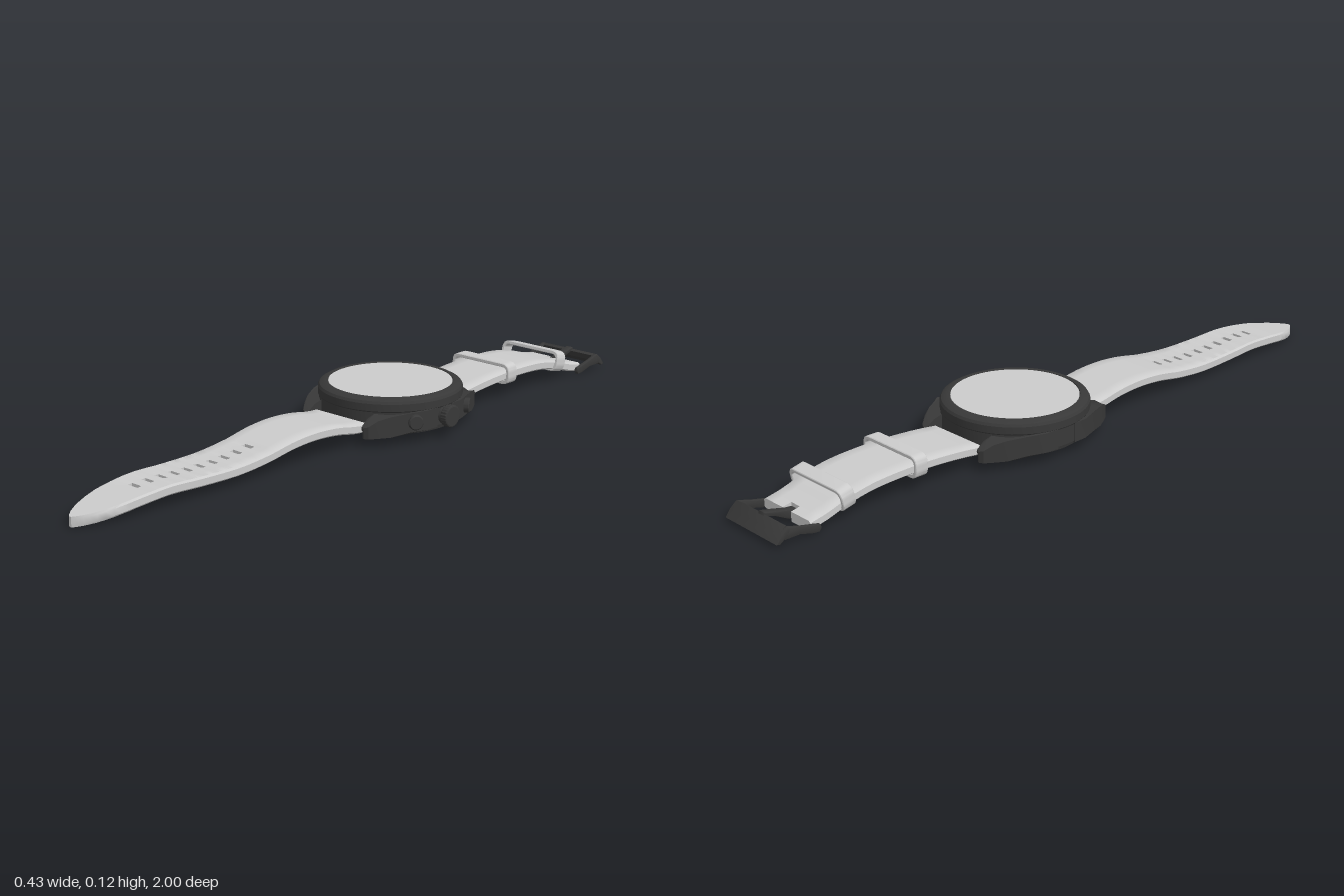
import * as THREE from 'three';
import { toCreasedNormals } from 'three/addons/utils/BufferGeometryUtils.js';

const CX = -0.015, CZ = -0.137; // watch axis
const grey = new THREE.MeshStandardMaterial({ color: 0xcccccc });
const dark = new THREE.MeshStandardMaterial({ color: 0x383838 });

function part(parent, name, geo, mat, crease = 0.5) {
  const mesh = new THREE.Mesh(toCreasedNormals(geo, crease), mat);
  mesh.name = name;
  parent.add(mesh);
  return mesh;
}

const shapeOf = (pts) => new THREE.Shape(pts.map(([a, b]) => new THREE.Vector2(a, b)));

// piecewise-linear lookup in [[key, value], ...] with ascending keys
function lookup(table, k) {
  for (let i = 1; i < table.length; i++) {
    const [k0, v0] = table[i - 1], [k1, v1] = table[i];
    if (k <= k1) return v0 + (v1 - v0) * Math.max(0, (k - k0) / (k1 - k0));
  }
  return table[table.length - 1][1];
}

// (z, y) outline extruded along x, centred on x
function sideProfile(pts, x, width, bevel = 0.002) {
  const g = new THREE.ExtrudeGeometry(shapeOf(pts), {
    depth: width - 2 * bevel, bevelSize: bevel, bevelThickness: bevel, bevelOffset: -bevel, bevelSegments: 2,
  });
  return g.rotateY(-Math.PI / 2).translate(x + width / 2 - bevel, 0, 0);
}

function roundedRect(target, w, h, r) {
  target.moveTo(-w + r, -h);
  target.lineTo(w - r, -h).quadraticCurveTo(w, -h, w, -h + r);
  target.lineTo(w, h - r).quadraticCurveTo(w, h, w - r, h);
  target.lineTo(-w + r, h).quadraticCurveTo(-w, h, -w, h - r);
  target.lineTo(-w, -h + r).quadraticCurveTo(-w, -h, -w + r, -h);
  return target;
}

// Strap slab over a grid of rows (z) and columns; hole cells are left out and walled
const COLS = [-1, -0.93, -0.6, -0.35, 'a', 'b', 0.35, 0.6, 0.93, 1];
function strapGeometry(rows, halfWidth, height, isHole, ripple) {
  const pos = [], idx = [], nc = COLS.length, thick = 0.027;
  for (const z of rows) {
    const w = halfWidth(z), y = height(z);
    for (const c of COLS) {
      const slot = Math.min(0.017, w * 0.25);
      const x = c === 'a' ? -slot : c === 'b' ? slot : c * w;
      const edge = Math.abs(c) === 1 ? 0.65 : 1;
      const dip = ripple(z) * (1 - Math.min(1, Math.abs(x) / w));
      pos.push(CX + x, y + thick / 2 * edge - dip, z, CX + x, y - thick / 2 * edge + dip, z);
    }
  }
  const id = (i, j, low) => 2 * (i * nc + j) + low;
  const solid = (i, j) => i >= 0 && j >= 0 && i < rows.length - 1 && j < nc - 1
    && !(COLS[j] === 'a' && isHole((rows[i] + rows[i + 1]) / 2));
  const quad = (a, b, c, d) => idx.push(a, b, c, a, c, d);
  const wall = (i0, j0, i1, j1) => quad(id(i0, j0, 0), id(i0, j0, 1), id(i1, j1, 1), id(i1, j1, 0));
  for (let i = 0; i < rows.length - 1; i++) for (let j = 0; j < nc - 1; j++) {
    if (!solid(i, j)) continue;
    quad(id(i, j, 0), id(i + 1, j, 0), id(i + 1, j + 1, 0), id(i, j + 1, 0));
    quad(id(i, j, 1), id(i, j + 1, 1), id(i + 1, j + 1, 1), id(i + 1, j, 1));
    if (!solid(i - 1, j)) wall(i, j + 1, i, j);
    if (!solid(i + 1, j)) wall(i + 1, j, i + 1, j + 1);
    if (!solid(i, j - 1)) wall(i, j, i + 1, j);
    if (!solid(i, j + 1)) wall(i + 1, j + 1, i, j + 1);
  }
  const g = new THREE.BufferGeometry();
  g.setAttribute('position', new THREE.Float32BufferAttribute(pos, 3));
  g.setIndex(idx);
  return g;
}

// smooth height curve through (z, y) points
function heightCurve(pts) {
  const curve = new THREE.CatmullRomCurve3(pts.map(([z, y]) => new THREE.Vector3(0, y, z)));
  const table = curve.getPoints(100).map((p) => [p.z, p.y]).sort((a, b) => a[0] - b[0]);
  return (z) => lookup(table, z);
}

const range = (a, b, n) => Array.from({ length: n + 1 }, (_, i) => a + (b - a) * i / n);

function buildCase(root) {
  const watch = new THREE.Group();
  watch.name = 'watchCase';
  watch.position.set(CX, 0, CZ);
  root.add(watch);

  const profile = [[0, 0.02], [0.165, 0.02], [0.185, 0.024], [0.188, 0.036], [0.199, 0.04], [0.199, 0.088],
    [0.201, 0.091], [0.201, 0.111], [0.197, 0.118], [0.184, 0.125], [0.174, 0.125], [0.172, 0.121], [0, 0.121]];
  part(watch, 'caseBody', new THREE.LatheGeometry(profile.map(([r, y]) => new THREE.Vector2(r, y)), 72), dark);
  part(watch, 'dial', new THREE.CylinderGeometry(0.172, 0.172, 0.004, 72).translate(0, 0.122, 0), grey);

  // four tapering lugs whose top slopes down to the tip
  const plan = [[0.098, 0.1], [0.098, 0.17], [0.098, 0.2], [0.099, 0.222], [0.108, 0.228], [0.121, 0.222],
    [0.136, 0.2], [0.154, 0.17], [0.179, 0.12], [0.197, 0.07], [0.199, 0.03], [0.15, 0.03]];
  const lugTop = [[0.12, 0.09], [0.17, 0.085], [0.2, 0.077], [0.228, 0.058]];
  for (const sx of [-1, 1]) for (const sz of [-1, 1]) {
    const g = new THREE.ExtrudeGeometry(shapeOf(plan.map(([x, z]) => [x * sx, z * sz])), { depth: 1, bevelEnabled: false });
    g.rotateX(Math.PI / 2);
    const p = g.attributes.position;
    for (let i = 0; i < p.count; i++) {
      const top = p.getY(i) > -0.5;
      p.setY(i, top ? lookup(lugTop, Math.abs(p.getZ(i))) : Math.abs(p.getZ(i)) > 0.15 ? 0.028 : 0.036);
    }
    part(watch, 'lug', g, dark);
  }
  for (const s of [-1, 1]) {
    part(watch, 'springBar', new THREE.CylinderGeometry(0.008, 0.008, 0.2, 12).rotateZ(Math.PI / 2)
      .translate(0, 0.052, s * 0.213), dark);
  }

  // finely knurled crown and two radial pushers
  const knurl = range(0, 2 * Math.PI, 48).slice(0, 48).map((a, i) => {
    const r = i % 2 ? 0.03 : 0.031;
    return [r * Math.cos(a), r * Math.sin(a)];
  });
  part(watch, 'crown', sideProfile(knurl, 0.217, 0.022, 0.004).translate(0, 0.064, 0), dark, 0.3);
  part(watch, 'crownStem', new THREE.CylinderGeometry(0.024, 0.028, 0.03, 24).rotateZ(-Math.PI / 2)
    .translate(0.198, 0.064, 0), dark);
  for (const s of [-1, 1]) {
    const pusher = new THREE.Group();
    pusher.name = 'pusher';
    pusher.rotation.y = s * 0.52;
    watch.add(pusher);
    const along = [[0.014, 0.18], [0.014, 0.209], [0.021, 0.21], [0.021, 0.222], [0.018, 0.225], [0, 0.225]];
    const g = new THREE.LatheGeometry(along.map(([r, y]) => new THREE.Vector2(r, y)), 24);
    part(pusher, 'pusherButton', g.rotateZ(-Math.PI / 2).translate(0, 0.064, 0), dark);
  }
}

function buildStraps(root) {
  // long strap with ten adjustment slots
  const holes = range(0.413, 0.797, 9), half = 0.0065;
  const rows = [...range(0.066, 0.39, 14)];
  for (const h of holes) rows.push(h - 0.013, h - half, h, h + half, h + 0.013, h + 0.0213);
  rows.push(...range(0.83, 0.95, 6), 0.965, 0.978, 0.988, 0.995, 1);
  const width = [[0.06, 0.095], [0.3, 0.09], [0.5, 0.085], [0.7, 0.077], [0.8, 0.073], [0.87, 0.066],
    [0.91, 0.057], [0.95, 0.042], [0.978, 0.025], [0.992, 0.013], [1, 0.004]];
  const frontHeight = heightCurve([[0.05, 0.05], [0.1, 0.053], [0.17, 0.065], [0.25, 0.07], [0.33, 0.065],
    [0.42, 0.05], [0.52, 0.041], [0.64, 0.042], [0.75, 0.046], [0.85, 0.038], [0.93, 0.026], [1.01, 0.014]]);
  const isHole = (z) => holes.some((h) => Math.abs(z - h) < half);
  const ripple = (z) => (z > 0.39 && z < 0.82 ? 0.004 * (0.5 + 0.5 * Math.cos((z - holes[0]) / 0.04267 * 2 * Math.PI)) : 0);
  part(root, 'longStrap', strapGeometry(rows, (z) => lookup(width, z), frontHeight, isHole, ripple), grey, 0.7);

  // short strap, notched where the buckle tongue hinges
  const backRows = [-0.892, -0.865, ...range(-0.84, -0.342, 24)];
  const backHeight = heightCurve([[-0.34, 0.05], [-0.4, 0.058], [-0.5, 0.066], [-0.6, 0.068], [-0.7, 0.063],
    [-0.78, 0.048], [-0.84, 0.03], [-0.9, 0.018]]);
  part(root, 'shortStrap', strapGeometry(backRows, () => 0.094, backHeight, (z) => z < -0.866, () => 0), grey, 0.7);

  // keeper loops
  for (const [z, y, tilt] of [[-0.55, 0.072, 0], [-0.782, 0.06, -0.22]]) {
    const ring = roundedRect(new THREE.Shape(), 0.106, 0.031, 0.026);
    ring.holes.push(roundedRect(new THREE.Path(), 0.096, 0.02, 0.016));
    const g = new THREE.ExtrudeGeometry(ring, { depth: 0.036, bevelSize: 0.002, bevelThickness: 0.002, bevelOffset: -0.002, bevelSegments: 1, curveSegments: 6 });
    const loop = part(root, 'keeperLoop', g.translate(0, 0, -0.018), grey);
    loop.position.set(CX, y, z);
    loop.rotation.x = tilt;
  }
}

function buildBuckle(root) {
  const buckle = new THREE.Group();
  buckle.name = 'buckle';
  root.add(buckle);
  const bar = [[-0.965, 0.047], [-0.957, 0.042], [-0.963, 0.026], [-0.99, 0.008], [-1, 0.011], [-0.985, 0.031]];
  part(buckle, 'buckleBar', sideProfile(bar, CX, 0.21), dark);
  const arm = [[-0.866, 0.012], [-0.872, 0.004], [-0.89, 0.005], [-0.93, 0.016], [-0.975, 0.016], [-0.985, 0.031],
    [-0.965, 0.047], [-0.93, 0.036], [-0.89, 0.027], [-0.868, 0.022]];
  for (const s of [-1, 1]) part(buckle, 'buckleArm', sideProfile(arm, CX + s * 0.099, 0.012), dark);
  part(buckle, 'bucklePin', new THREE.CylinderGeometry(0.006, 0.006, 0.2, 12).rotateZ(Math.PI / 2)
    .translate(CX, 0.017, -0.882), dark);
  const tongue = [[-0.867, 0.014], [-0.88, 0.008], [-0.895, 0.012], [-0.935, 0.033], [-0.968, 0.044], [-0.965, 0.052],
    [-0.93, 0.044], [-0.89, 0.034], [-0.87, 0.032]];
  part(buckle, 'buckleTongue', sideProfile(tongue, CX, 0.024), dark);
}

export function createModel() {
  const root = new THREE.Group();
  root.name = 'wristwatch';
  buildCase(root);
  buildStraps(root);
  buildBuckle(root);
  return root;
}
